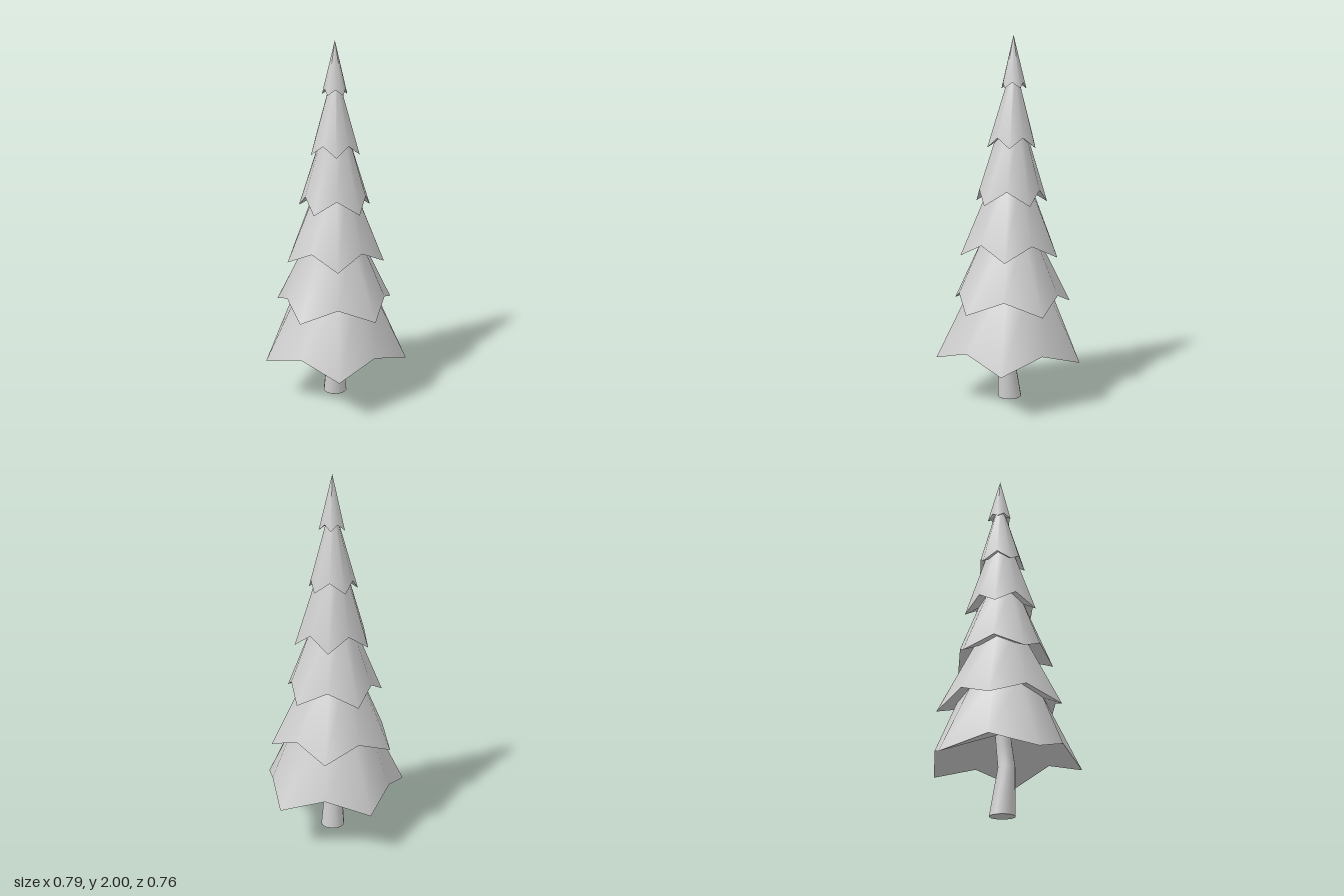
import * as THREE from 'three';

const SIDES = 10;

// Horizontal ring of points; alternate points may differ in radius and height
function ring(n, z, y, r, yAlt = y, rAlt = r, phase = 0) {
  return Array.from({ length: n }, (_, i) => {
    const a = (i / n) * Math.PI * 2;
    const alt = (i + phase) % 2 === 1;
    const rad = alt ? rAlt : r;
    return [Math.sin(a) * rad, alt ? yAlt : y, z + Math.cos(a) * rad];
  });
}

// Smooth skin through a stack of rings, wound to face outward when they rise
function loft(rings) {
  const n = rings[0].length;
  const index = [];
  for (let k = 0; k < rings.length - 1; k++) {
    for (let i = 0; i < n; i++) {
      const a = k * n + i, b = k * n + ((i + 1) % n);
      index.push(a, b, b + n, a, b + n, a + n);
    }
  }
  const g = new THREE.BufferGeometry();
  g.setAttribute('position', new THREE.Float32BufferAttribute(rings.flat(2), 3));
  g.setIndex(index);
  g.computeVertexNormals();
  return g;
}

export function createModel() {
  const tree = new THREE.Group();
  tree.name = 'pineTree';
  const mat = new THREE.MeshStandardMaterial({ color: 0xcccccc, side: THREE.DoubleSide });
  const add = (parent, name, geo) => {
    const m = new THREE.Mesh(geo, mat);
    m.name = name;
    parent.add(m);
    return m;
  };

  // Slightly bent trunk: [z, y, radius]
  const trunk = [[-0.033, 0, 0.067], [-0.012, 0.25, 0.045], [-0.025, 0.36, 0.042], [-0.035, 0.45, 0.04]];
  add(tree, 'trunk', loft(trunk.map(([z, y, r]) => ring(14, z, y, r))));
  const base = add(tree, 'trunkBase', new THREE.CircleGeometry(0.067, 14));
  base.rotation.x = Math.PI / 2;
  base.position.z = -0.033;

  // Branch tiers: centre z, tip height and radius, notch height and radius, height where the cone would close
  const tiers = [
    { z: -0.035, y: 0.25, r: 0.415, ny: 0.325, nr: 0.345, peak: 1.08 },
    { z: -0.035, y: 0.535, r: 0.345, ny: 0.61, nr: 0.285, peak: 1.22 },
    { z: -0.037, y: 0.82, r: 0.278, ny: 0.895, nr: 0.229, peak: 1.47 },
    { z: -0.037, y: 1.105, r: 0.207, ny: 1.18, nr: 0.172, peak: 1.73 },
    { z: -0.046, y: 1.405, r: 0.137, ny: 1.46, nr: 0.116, peak: 1.87 },
    { z: -0.053, y: 1.72, r: 0.071, ny: 1.75, nr: 0.057, peak: 2 },
  ];
  tiers.forEach((t, i) => {
    const tier = new THREE.Group();
    tier.name = `branchTier${i + 1}`;
    tree.add(tier);
    const next = tiers[i + 1];
    // Each tier ends just inside the next one; the last closes to a point
    const topY = next ? next.ny + 0.05 : t.peak;
    const topR = t.r * (t.peak - topY) / (t.peak - t.y);
    const topZ = next ? next.z : t.z;
    // Tips alternate between front and back from tier to tier
    const rim = ring(SIDES, t.z, t.y, t.r, t.ny, t.nr, i % 2);
    add(tier, 'foliage', loft([rim, ring(SIDES, topZ, topY, topR)]));
    // Shallow hollow underside
    const hollowY = t.ny + 0.25 * t.r;
    add(tier, 'underside', loft([ring(SIDES, t.z, hollowY, 0), rim]));
  });
  return tree;
}
